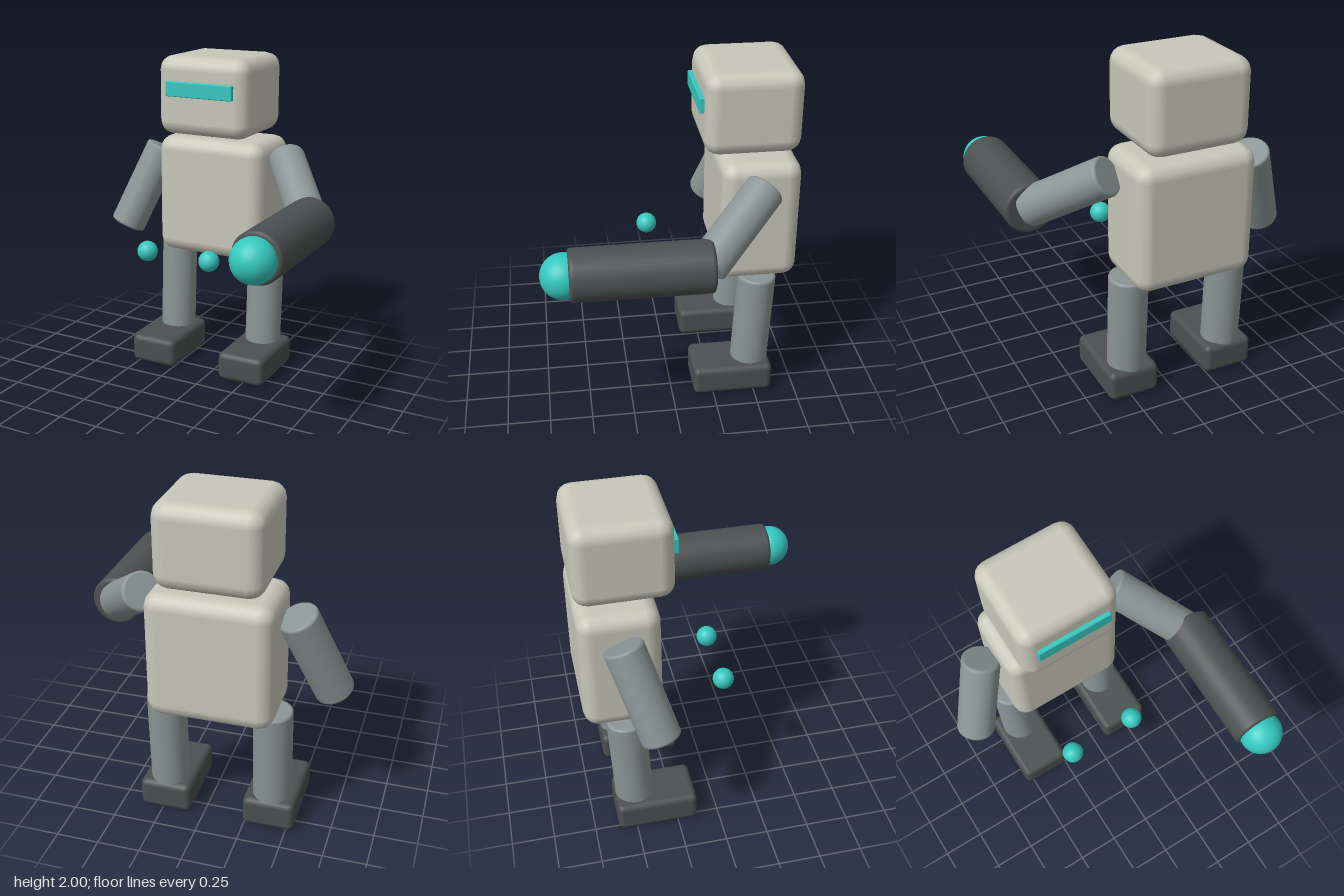
import * as THREE from 'three';
import { RoundedBoxGeometry } from 'three/addons/geometries/RoundedBoxGeometry.js';

const material = (color) => new THREE.MeshStandardMaterial({ color });

export function createModel() {
  const group = new THREE.Group();
  const shell = material(0xc8c7ba);
  const metal = material(0x8a9595);
  const dark = material(0x4c5050);
  const glow = material(0x35c8bf);

  function add(name, geometry, mat, x, y, z) {
    const mesh = new THREE.Mesh(geometry, mat);
    mesh.name = name;
    mesh.position.set(x, y, z);
    group.add(mesh);
    return mesh;
  }

  const block = (name, mat, [w, h, d], radius, [x, y, z]) =>
    add(name, new RoundedBoxGeometry(w, h, d, 2, radius), mat, x, y, z);

  const ball = (name, radius, x, y, z) =>
    add(name, new THREE.SphereGeometry(radius, 32, 20), glow, x, y, z);

  // Cylinder with softly rounded rims, running between two points
  function rod(name, mat, from, to, r, bevel = 0.012) {
    const a = new THREE.Vector3(...from);
    const b = new THREE.Vector3(...to);
    const h = a.distanceTo(b) / 2;
    const half = [
      [0, h], [r - bevel * 1.5, h], [r - bevel, h],
      [r - bevel * 0.3, h - bevel * 0.3],
      [r, h - bevel], [r, h - bevel * 1.5],
    ];
    const profile = [
      ...half.map(([x, y]) => new THREE.Vector2(x, -y)),
      ...half.slice().reverse().map(([x, y]) => new THREE.Vector2(x, y)),
    ];
    const mid = a.clone().add(b).multiplyScalar(0.5);
    const mesh = add(name, new THREE.LatheGeometry(profile, 40), mat, mid.x, mid.y, mid.z);
    mesh.quaternion.setFromUnitVectors(new THREE.Vector3(0, 1, 0), b.sub(a).normalize());
  }

  // Head, visor and torso
  block('head', shell, [0.6, 0.48, 0.555], 0.085, [-0.08, 1.76, -0.473]);
  add('visor', new RoundedBoxGeometry(0.44, 0.09, 0.05, 1, 0.006), glow, -0.08, 1.808, -0.195);
  block('torso', shell, [0.715, 0.745, 0.46], 0.085, [-0.078, 1.117, -0.52]);

  // Legs, feet and the floating orbs in front of them
  for (const [side, s] of [['right', -1], ['left', 1]]) {
    const x = -0.08 + s * 0.312;
    rod(side + 'Leg', metal, [x, 0.1, -0.486], [x, 0.765, -0.516], 0.113);
    block(side + 'Foot', dark, [0.306, 0.18, 0.48], 0.035, [x, 0.094, -0.37]);
    ball(side + 'Orb', 0.062, -0.08 + s * 0.208, 0.86, 0.082);
  }

  // Arms
  rod('rightArm', metal, [-0.705, 0.857, -0.365], [-0.51, 1.37, -0.522], 0.113);
  rod('leftArm', metal, [0.66, 1.11, -0.14], [0.352, 1.39, -0.512], 0.113);

  // Forearm cannon with its glowing muzzle
  rod('cannon', dark, [0.661, 1.113, -0.175], [0.661, 1.113, 0.598], 0.147, 0.016);
  ball('muzzle', 0.126, 0.661, 1.113, 0.625);

  return group;
}
